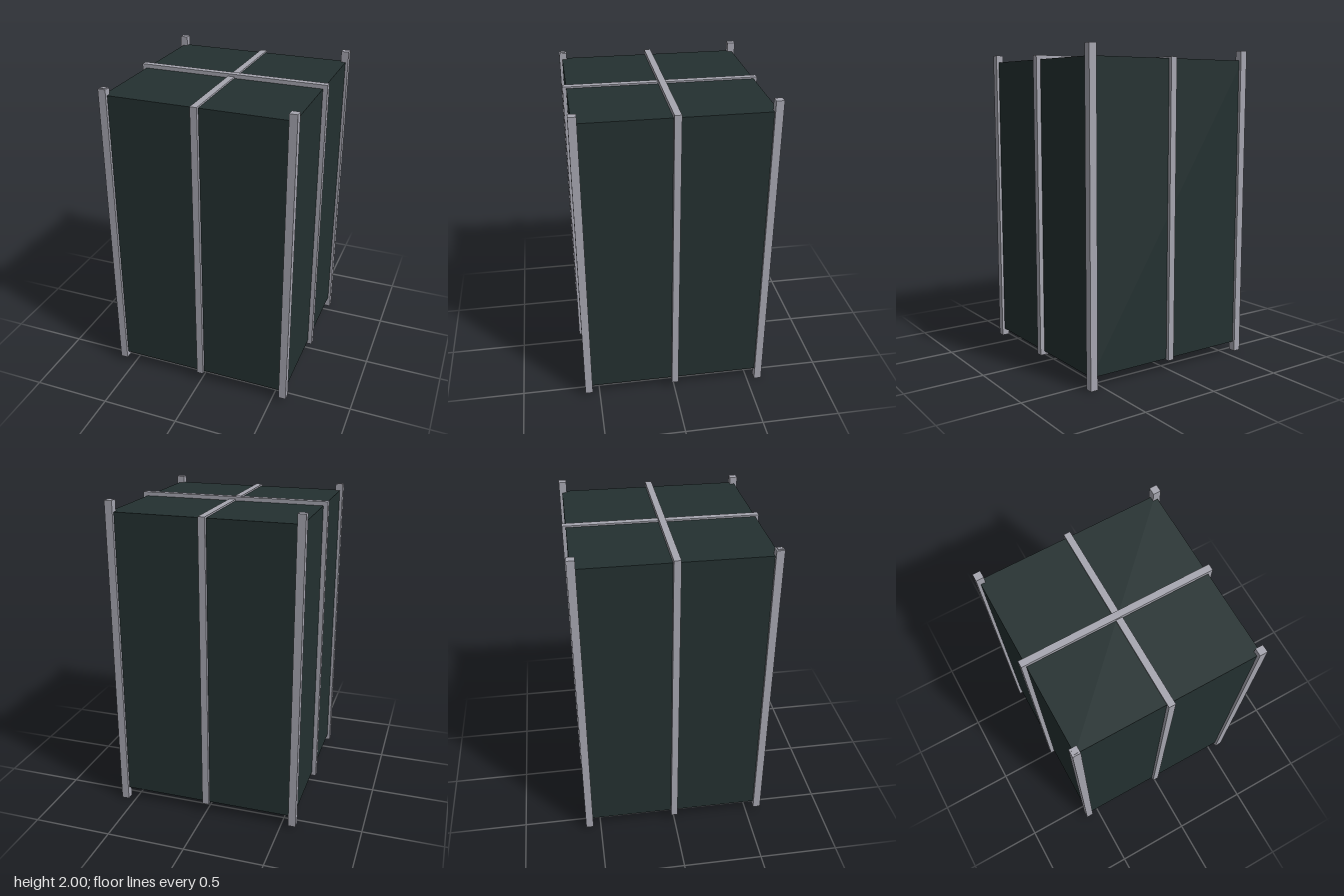
import * as THREE from 'three';

export function createModel() {
  const model = new THREE.Group();
  const panel = new THREE.MeshStandardMaterial({ name: 'dark panel', color: 0x233030 });
  const metal = new THREE.MeshStandardMaterial({ name: 'grey metal', color: 0xa6a6b0 });

  // Box given by its lower and upper corners
  const box = (name, material, [x0, y0, z0], [x1, y1, z1], parent = model) => {
    const mesh = new THREE.Mesh(new THREE.BoxGeometry(x1 - x0, y1 - y0, z1 - z0), material);
    mesh.position.set((x0 + x1) / 2, (y0 + y1) / 2, (z0 + z1) / 2);
    mesh.name = name;
    parent.add(mesh);
  };

  // Main body
  box('body', panel, [-0.578, 0.076, -0.58], [0.578, 1.93, 0.577]);

  // Corner posts of slightly different heights
  const h = 0.024;
  const posts = [
    ['backLeftPost', 0.571, -0.574, 0, 2],
    ['backRightPost', -0.573, -0.574, 0.015, 1.99],
    ['frontLeftPost', 0.571, 0.571, 0.03, 1.975],
    ['frontRightPost', -0.573, 0.571, 0.038, 1.97],
  ];
  for (const [name, x, z, y0, y1] of posts) {
    box(name, metal, [x - h, y0, z - h], [x + h, y1, z + h]);
  }
  // Small core standing just proud of the front right post
  box('postCore', metal, [-0.588, 0.033, 0.556], [-0.558, 1.975, 0.586]);

  // Loop of four bars running left to right around the body
  const t = 0.04;
  const sideLoop = new THREE.Group();
  sideLoop.name = 'sideLoop';
  model.add(sideLoop);
  box('topBar', metal, [-0.606, 1.955 - t, -0.023], [0.606, 1.955, 0.019], sideLoop);
  box('bottomBar', metal, [-0.606, 0.053, -0.023], [0.606, 0.053 + t, 0.019], sideLoop);
  box('leftBar', metal, [0.606 - t, 0.053, -0.023], [0.606, 1.955, 0.019], sideLoop);
  box('rightBar', metal, [-0.606, 0.053, -0.023], [-0.606 + t, 1.955, 0.019], sideLoop);

  // Loop of four bars running front to back
  const frontLoop = new THREE.Group();
  frontLoop.name = 'frontLoop';
  model.add(frontLoop);
  box('topBar', metal, [-0.022, 1.94 - t, -0.602], [0.02, 1.94, 0.599], frontLoop);
  box('bottomBar', metal, [-0.022, 0.068, -0.602], [0.02, 0.068 + t, 0.599], frontLoop);
  box('frontBar', metal, [-0.022, 0.068, 0.599 - t], [0.02, 1.94, 0.599], frontLoop);
  box('backBar', metal, [-0.022, 0.068, -0.602], [0.02, 1.94, -0.602 + t], frontLoop);

  return model;
}
